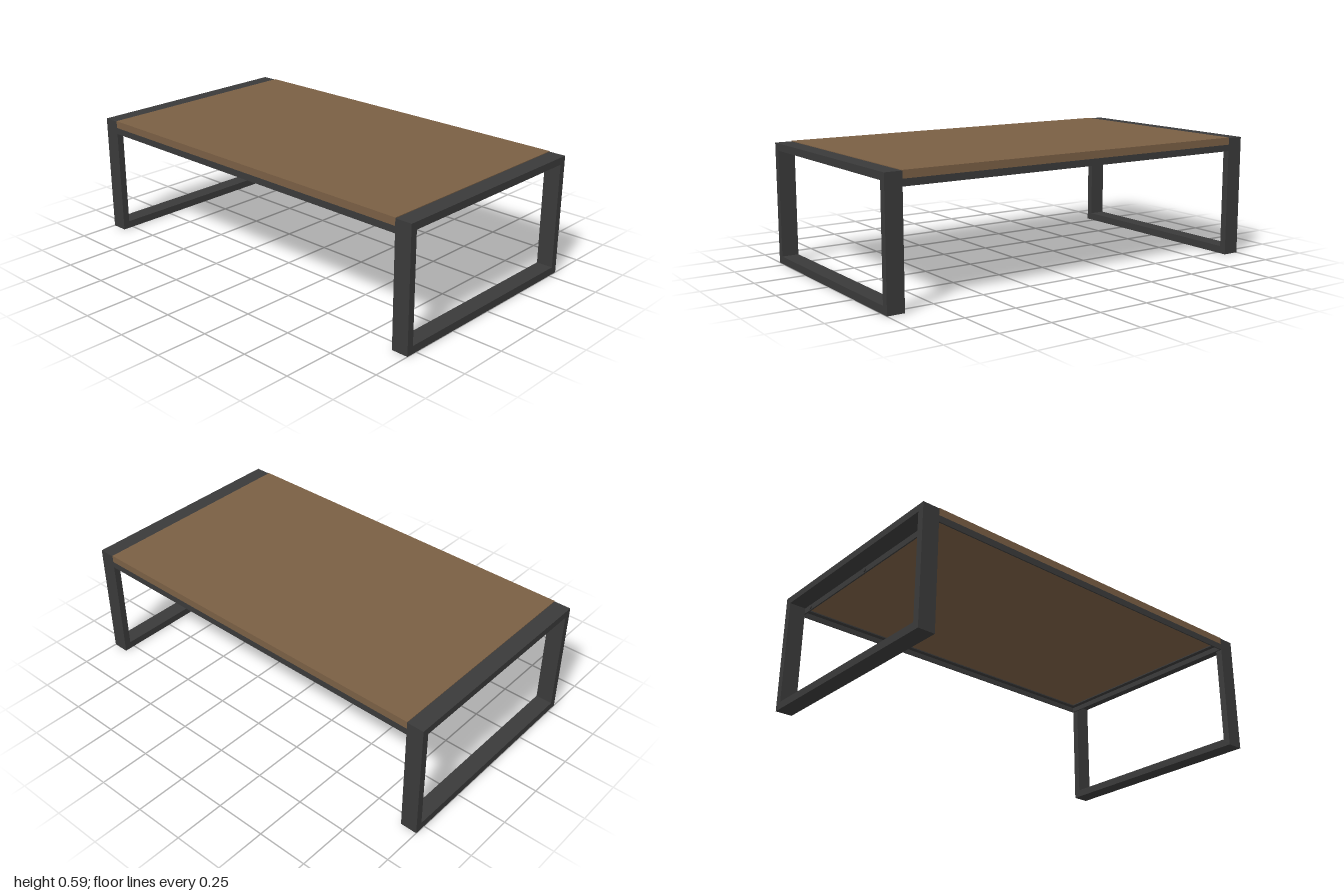
import * as THREE from 'three';

const steel = new THREE.MeshStandardMaterial({ color: 0x3a3a3a });
steel.name = 'dark steel';
const wood = new THREE.MeshStandardMaterial({ color: 0x7a5f44 });
wood.name = 'brown wood';

const INNER_X = 0.917, HALF_Z = 0.555, LEG_TOP = 0.591, BAR = 0.034;
const TOP_BOTTOM = 0.558, RAIL_BOTTOM = 0.526, PLATE = 0.006, FLANGE = 0.03;

function rectangle(path, x0, y0, x1, y1) {
  path.moveTo(x0, y0).lineTo(x1, y0).lineTo(x1, y1).lineTo(x0, y1).closePath();
  return path;
}

// Closed rectangular leg loop, standing across the depth of the table
function legFrame(side) {
  const shape = rectangle(new THREE.Shape(), -HALF_Z, 0, HALF_Z, LEG_TOP);
  shape.holes.push(rectangle(new THREE.Path(), -HALF_Z + BAR, 0.037, HALF_Z - BAR, 0.556));
  const width = 1 - INNER_X;
  const geometry = new THREE.ExtrudeGeometry(shape, { depth: width, bevelEnabled: false });
  geometry.translate(0, 0, -width / 2).rotateY(Math.PI / 2);
  const mesh = new THREE.Mesh(geometry, steel);
  mesh.position.x = side * (INNER_X + width / 2);
  mesh.name = side > 0 ? 'leftLegFrame' : 'rightLegFrame';
  return mesh;
}

// L-section rail: upright plate outside, flange under the wood.
// It runs along x, with its outer face at +z = offset.
function angleRail(length, offset, name) {
  const rail = new THREE.Group();
  rail.name = name;
  const height = TOP_BOTTOM - RAIL_BOTTOM;
  const web = new THREE.Mesh(new THREE.BoxGeometry(length, height, PLATE), steel);
  web.name = 'railWeb';
  web.position.set(0, RAIL_BOTTOM + height / 2, offset - PLATE / 2);
  const flange = new THREE.Mesh(
    new THREE.BoxGeometry(length - 2 * PLATE, PLATE, FLANGE - PLATE), steel);
  flange.name = 'railFlange';
  flange.position.set(0, TOP_BOTTOM - PLATE / 2, offset - (FLANGE + PLATE) / 2);
  rail.add(web, flange);
  return rail;
}

export function createModel() {
  const table = new THREE.Group();
  table.name = 'coffeeTable';

  // Wooden top
  const thickness = 0.594 - TOP_BOTTOM;
  const top = new THREE.Mesh(new THREE.BoxGeometry(2 * INNER_X, thickness, 2 * HALF_Z), wood);
  top.name = 'tableTop';
  top.position.y = TOP_BOTTOM + thickness / 2;
  table.add(top);

  for (const side of [1, -1]) {
    table.add(legFrame(side));

    // Long rail at front or back
    const longRail = angleRail(2 * INNER_X, HALF_Z, side > 0 ? 'frontRail' : 'backRail');
    longRail.rotation.y = side > 0 ? 0 : Math.PI;

    // End rail, with three bolt heads on its outer face
    const endRail = angleRail(2 * (HALF_Z - PLATE), INNER_X, side > 0 ? 'leftRail' : 'rightRail');
    endRail.rotation.y = side * Math.PI / 2;
    for (const x of [-0.467, 0, 0.467]) {
      const bolt = new THREE.Mesh(new THREE.CylinderGeometry(0.011, 0.011, 0.012, 20), steel);
      bolt.name = 'bolt';
      bolt.rotation.x = Math.PI / 2;
      bolt.position.set(x, 0.54, INNER_X);
      endRail.add(bolt);
    }
    table.add(longRail, endRail);
  }
  return table;
}
